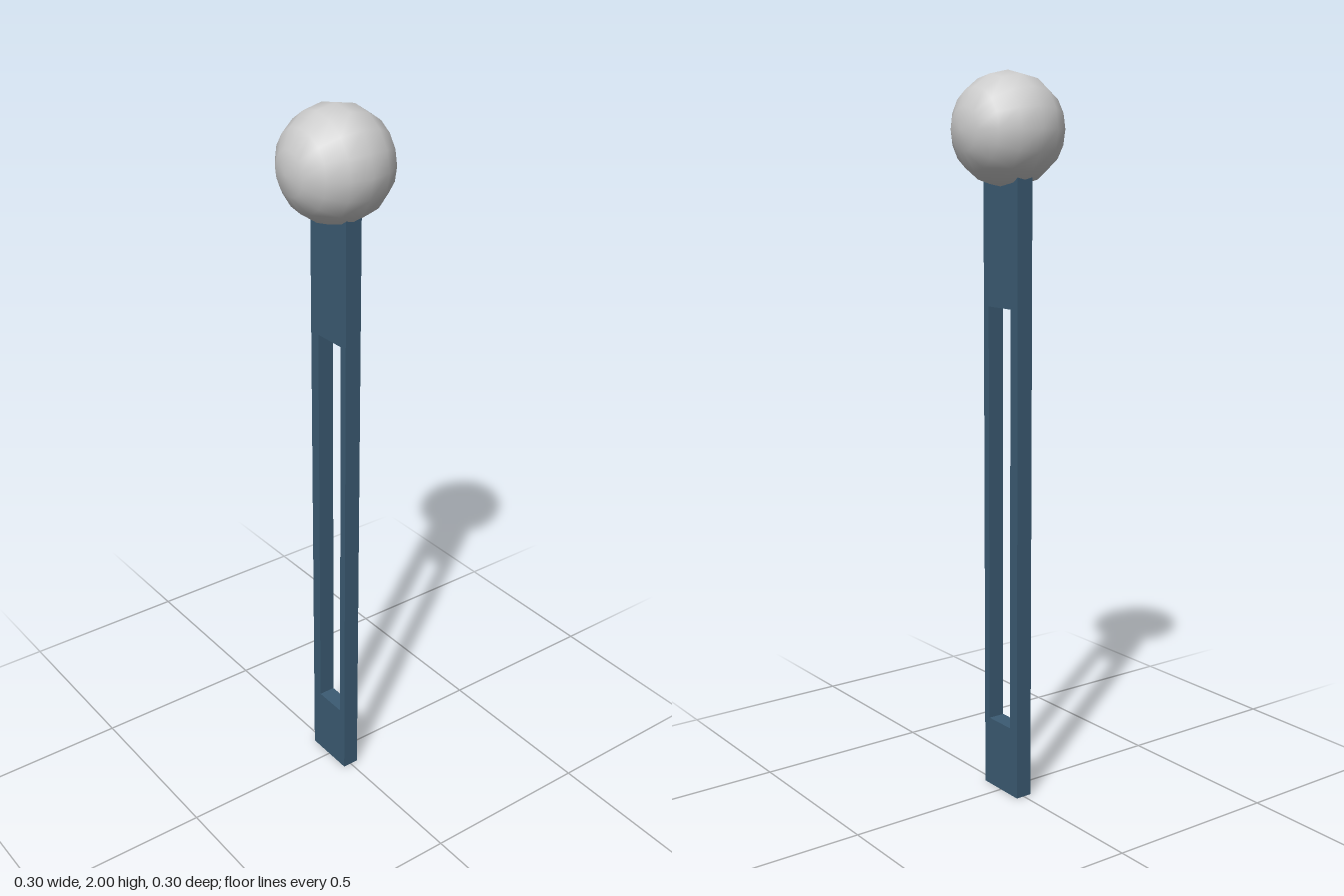
import * as THREE from 'three';

export function createModel() {
  const group = new THREE.Group();
  const blue = new THREE.MeshStandardMaterial({ name: 'slate blue', color: 0x3b5b73 });
  const grey = new THREE.MeshStandardMaterial({ name: 'light grey', color: 0xcccccc });

  // Rectangle outline from two opposite corners
  const rect = (Type, x0, y0, x1, y1) => {
    const p = new Type();
    p.moveTo(x0, y0);
    p.lineTo(x1, y0);
    p.lineTo(x1, y1);
    p.lineTo(x0, y1);
    p.closePath();
    return p;
  };

  // Flat arm with a long, slightly off-centre slot, drawn in z and y
  const thickness = 0.048;
  const outline = rect(THREE.Shape, -0.076, 0, 0.076, 1.75);
  outline.holes.push(rect(THREE.Path, -0.044, 0.2, 0.054, 1.38));
  const armGeometry = new THREE.ExtrudeGeometry(outline, { depth: thickness, bevelEnabled: false });
  armGeometry.translate(0, 0, -thickness / 2).rotateY(-Math.PI / 2);
  const arm = new THREE.Mesh(armGeometry, blue);
  arm.name = 'slottedArm';
  group.add(arm);

  // Ball knob, its poles pointing sideways
  const knobGeometry = new THREE.SphereGeometry(0.152, 16, 8).rotateZ(Math.PI / 2);
  const knob = new THREE.Mesh(knobGeometry, grey);
  knob.name = 'ballKnob';
  knob.position.y = 1.848;
  group.add(knob);

  return group;
}
